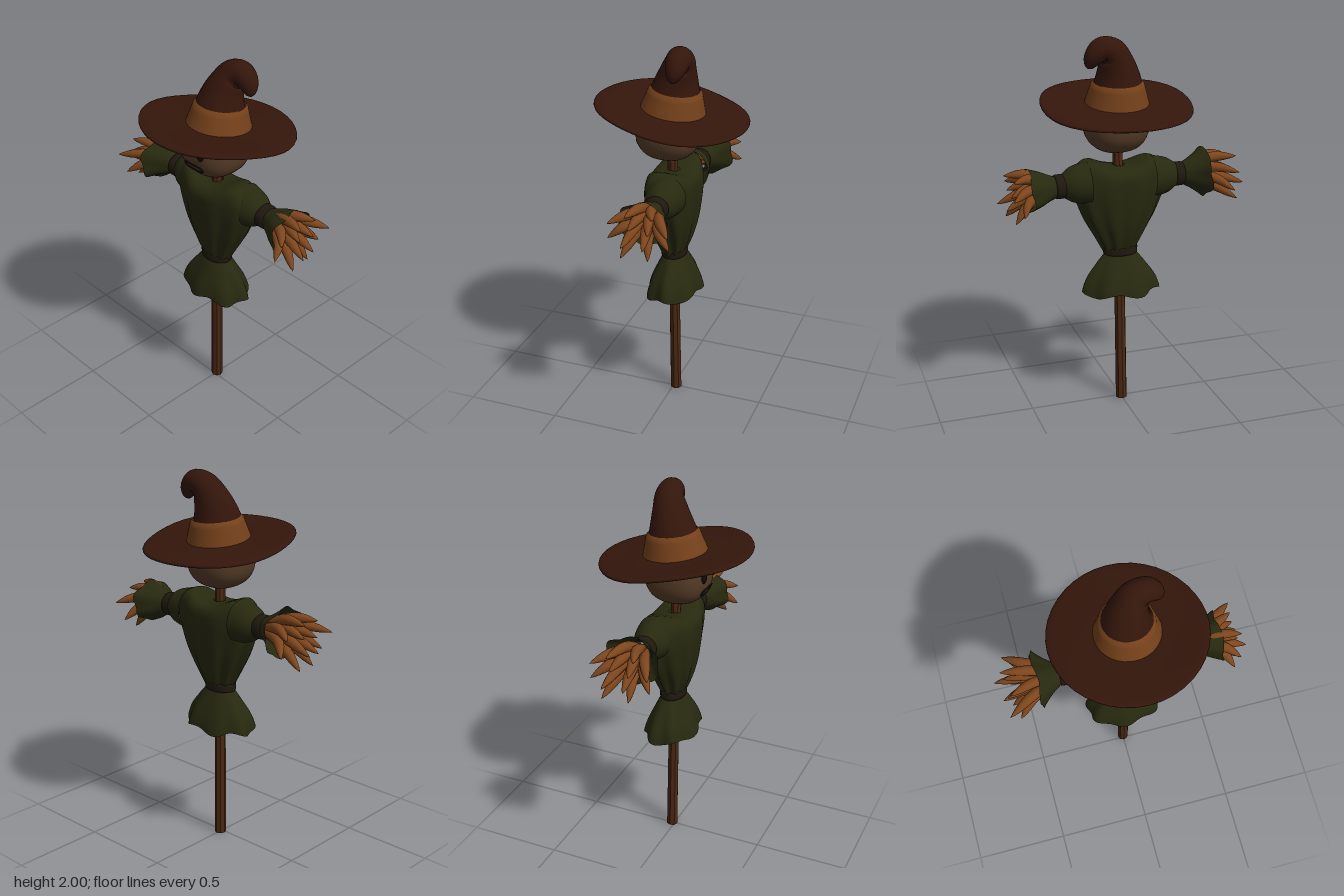
import * as THREE from 'three';

const V = (x, y, z) => new THREE.Vector3(x, y, z);
const mat = (color, extra = {}) => new THREE.MeshStandardMaterial({ color, ...extra });
const M = {
  wood: mat(0x4a2812, { flatShading: true }),
  cloth: mat(0x27290f, { side: THREE.DoubleSide }),
  cord: mat(0x1f180f),
  hat: mat(0x34160b),
  hatBand: mat(0x74401a, { side: THREE.DoubleSide }),
  straw: mat(0x7e461d),
  sack: mat(0x553b27),
  black: mat(0x0c0a09),
};

function add(parent, name, geometry, material) {
  const mesh = new THREE.Mesh(geometry, material);
  mesh.name = name;
  parent.add(mesh);
  return mesh;
}

// smooth value along an evenly spaced list, u from 0 to 1
const along = (list) => {
  const c = new THREE.SplineCurve(list.map((v, i) => new THREE.Vector2(i, v)));
  return (u) => c.getPoint(u).y;
};

// factor that rounds off the end of a sweep
const roundEnd = (u, k) => Math.sqrt(Math.max(0, 1 - u ** k));

// surface from closed rings: f(u, angle) gives a point, u runs along the axis
function loft(nu, nv, f) {
  const pos = [], idx = [];
  for (let i = 0; i <= nu; i++)
    for (let j = 0; j < nv; j++) pos.push(...f(i / nu, (j / nv) * Math.PI * 2).toArray());
  for (let i = 0; i < nu; i++)
    for (let j = 0; j < nv; j++) {
      const a = i * nv + j, b = i * nv + ((j + 1) % nv), c = a + nv, d = b + nv;
      idx.push(a, b, c, b, d, c);
    }
  const g = new THREE.BufferGeometry();
  g.setAttribute('position', new THREE.Float32BufferAttribute(pos, 3));
  g.setIndex(idx);
  g.computeVertexNormals();
  return g;
}

// tube of varying radius along a curve
function sweep(points, nu, nv, radius) {
  const curve = new THREE.CatmullRomCurve3(points);
  const fr = curve.computeFrenetFrames(nu);
  return loft(nu, nv, (u, a) => {
    const i = Math.round(u * nu), r = radius(u);
    return curve.getPointAt(u)
      .addScaledVector(fr.normals[i], r * Math.cos(a))
      .addScaledVector(fr.binormals[i], r * Math.sin(a));
  });
}

// rounded strap ring around y
function strap(r, h) {
  const p = [[0.75, -1], [0.95, -1], [1, -0.6], [1, 0.6], [0.95, 1], [0.75, 1]];
  return new THREE.LatheGeometry(p.map(([x, y]) => new THREE.Vector2(x * r, (y * h) / 2)), 28);
}

// sleeve with wrist tie and straw hand, built along local +x
function arm(name, flareLength, flareRadius, strawLength) {
  const g = new THREE.Group();
  g.name = name;
  const xs = along([-0.15, -0.065, 0, 0.3 * flareLength, 0.65 * flareLength, flareLength]);
  const rs = along([0.112, 0.092, 0.053, 0.066, 0.092, flareRadius]);
  add(g, 'sleeve', loft(24, 48, (u, a) => {
    const flare = Math.max(0, u - 0.45) / 0.55;
    const r = rs(u) * (1 + 0.06 * flare * Math.cos(6 * a + 0.5));
    const x = xs(u) + 0.008 * flare * Math.sin(4 * a);
    return V(x, r * Math.cos(a), r * Math.sin(a) * (0.93 + 0.24 * flare));
  }), M.cloth);
  add(g, 'wristTie', strap(0.063, 0.05), M.cord).rotation.z = -Math.PI / 2;

  // outer ring of eight strands, inner ring of four
  const thick = along([0.014, 0.024, 0.027, 0.022, 0.009]);
  for (let i = 0; i < 12; i++) {
    const outer = i < 8, s = outer ? 1 : 0.42;
    const a = outer ? (i * Math.PI) / 4 + 0.3 : (i * Math.PI) / 2 + 0.6;
    const cy = s * Math.cos(a), cz = s * Math.sin(a);
    add(g, 'strawStrand', sweep([
      V(0.03, 0.03 * cy, 0.03 * cz),
      V(0.17, 0.075 * cy + 0.008, 0.09 * cz),
      V(strawLength - 0.05 * s * s - 0.025 * (i % 3), 0.122 * cy - 0.035, 0.172 * cz),
    ], 14, 10, (u) => thick(u) * roundEnd(u, 10)), M.straw);
  }
  return g;
}

export function createModel() {
  const model = new THREE.Group();
  model.name = 'scarecrow';

  // leaning post
  const post = add(model, 'post', new THREE.CylinderGeometry(0.027, 0.031, 1.45, 8), M.wood);
  post.position.set(0.008, 0.725, -0.007);
  post.rotation.set(0.011, 0, -0.011);

  // gathered shirt body, raised over the shoulders and dipping at the neck
  const sy = along([0.86, 0.95, 1.05, 1.15, 1.23, 1.285, 1.315, 1.325]);
  const sx = along([0.08, 0.128, 0.185, 0.228, 0.255, 0.255, 0.2, 0.03]);
  const sz = along([0.055, 0.09, 0.114, 0.126, 0.13, 0.124, 0.092, 0.028]);
  add(model, 'shirt', loft(40, 80, (u, a) => {
    const fold = 1 + 0.08 * (1 - u) ** 1.5 * Math.cos(10 * a + Math.PI)
      + 0.02 * Math.cos(5 * a + 1) * Math.sin(Math.PI * u);
    const x = sx(u) * fold * Math.sin(a);
    const raise = 0.046 * THREE.MathUtils.smoothstep(u, 0.55, 0.9) * Math.exp(-(((Math.abs(x) - 0.17) / 0.085) ** 2));
    return V(0.012 + x, sy(u) + raise, sz(u) * fold * Math.cos(a) - 0.008);
  }), M.cloth);

  // flared shirt hem below the belt
  const hx = along([0.205, 0.182, 0.13, 0.075]), hz = along([0.138, 0.116, 0.082, 0.05]);
  add(model, 'shirtHem', loft(16, 72, (u, a) => {
    const k = 1 - u, fold = 1 + 0.06 * k * Math.cos(7 * a + 0.6);
    return V(0.004 + hx(u) * fold * Math.sin(a), 0.64 + 0.23 * u + 0.012 * k * Math.sin(5 * a),
      hz(u) * fold * Math.cos(a) - 0.01);
  }), M.cloth);
  const belt = add(model, 'belt', strap(0.093, 0.044), M.cord);
  belt.scale.z = 0.72;
  belt.position.set(0.004, 0.866, -0.008);

  // arms
  const left = arm('leftArm', 0.165, 0.11, 0.325);
  left.position.set(0.335, 1.245, -0.03);
  left.rotation.z = -0.05;
  const right = arm('rightArm', 0.14, 0.126, 0.36);
  right.position.set(-0.305, 1.255, -0.03);
  right.rotation.y = Math.PI;
  model.add(left, right);

  // sack head, slightly boxy
  const head = new THREE.Group();
  head.name = 'head';
  head.position.set(0.02, 1.55, 0.015);
  model.add(head);
  const R = 0.167, E = 2.4;
  add(head, 'sackHead', loft(28, 40, (u, a) => {
    const p = V(Math.sin(u * Math.PI) * Math.sin(a), -Math.cos(u * Math.PI), Math.sin(u * Math.PI) * Math.cos(a));
    const n = (Math.abs(p.x) ** E + Math.abs(p.y) ** E + Math.abs(p.z) ** E) ** (1 / E);
    return p.multiplyScalar(R / n).multiply(V(1, 0.94, 1));
  }), M.sack);
  const faceZ = (x, y) => R * (1 - Math.abs(x / R) ** E - Math.abs(y / R / 0.94) ** E) ** (1 / E);

  // face
  for (const s of [-1, 1]) {
    const eye = add(head, 'eye', new THREE.SphereGeometry(1, 20, 14), M.black);
    eye.scale.set(0.021, 0.028, 0.012);
    eye.position.set(s * 0.06, 0.013, faceZ(0.06, 0.013) + 0.002);
  }
  const lips = [[-0.046, -0.059], [0, -0.057], [0.046, -0.059], [0.06, -0.069], [0.06, -0.081],
    [0.046, -0.089], [0, -0.087], [-0.046, -0.089], [-0.06, -0.081], [-0.06, -0.069]];
  const mouthPath = new THREE.CatmullRomCurve3(lips.map(([x, y]) => V(x, y, faceZ(x, y) + 0.001)), true);
  add(head, 'mouth', new THREE.TubeGeometry(mouthPath, 64, 0.005, 8, true), M.black);

  // hat: tilted brim, curled crown and band
  const hat = new THREE.Group();
  hat.name = 'hat';
  model.add(hat);
  const brim = [[0.02, -0.015], [0.14, -0.015], [0.21, -0.015], [0.28, -0.014], [0.34, -0.013], [0.375, -0.011],
    [0.388, -0.006], [0.39, 0], [0.388, 0.006], [0.375, 0.01], [0.34, 0.012], [0.28, 0.012], [0.21, 0.012],
    [0.14, 0.013], [0.02, 0.013]];
  add(hat, 'brim', loft(brim.length - 1, 40, (u, a) => {
    const [r, t] = brim[Math.round(u * (brim.length - 1))];
    const x = r * Math.sin(a), z = r * Math.cos(a), edge = (r / 0.39) ** 4;
    return V(x + 0.02, 1.643 + t + 0.125 * z + 0.012 * Math.sin(z * 8) * edge, z);
  }), M.hat);
  const crownRadius = along([0.158, 0.132, 0.109, 0.087, 0.067, 0.054, 0.036]);
  add(hat, 'crown', sweep([
    V(0.02, 1.65, -0.005), V(0.02, 1.77, -0.02), V(0.037, 1.86, -0.04), V(0.065, 1.918, -0.058),
    V(0.115, 1.936, -0.066), V(0.16, 1.9, -0.066), V(0.188, 1.842, -0.056),
  ], 48, 32, (u) => crownRadius(u) * roundEnd(u, 16)), M.hat);
  add(hat, 'hatBand', sweep([V(0.02, 1.65, -0.005), V(0.02, 1.71, -0.0125), V(0.021, 1.765, -0.019)], 8, 36,
    (u) => (u === 1 ? 0.122 : 0.166 - 0.034 * u)), M.hatBand);

  return model;
}
